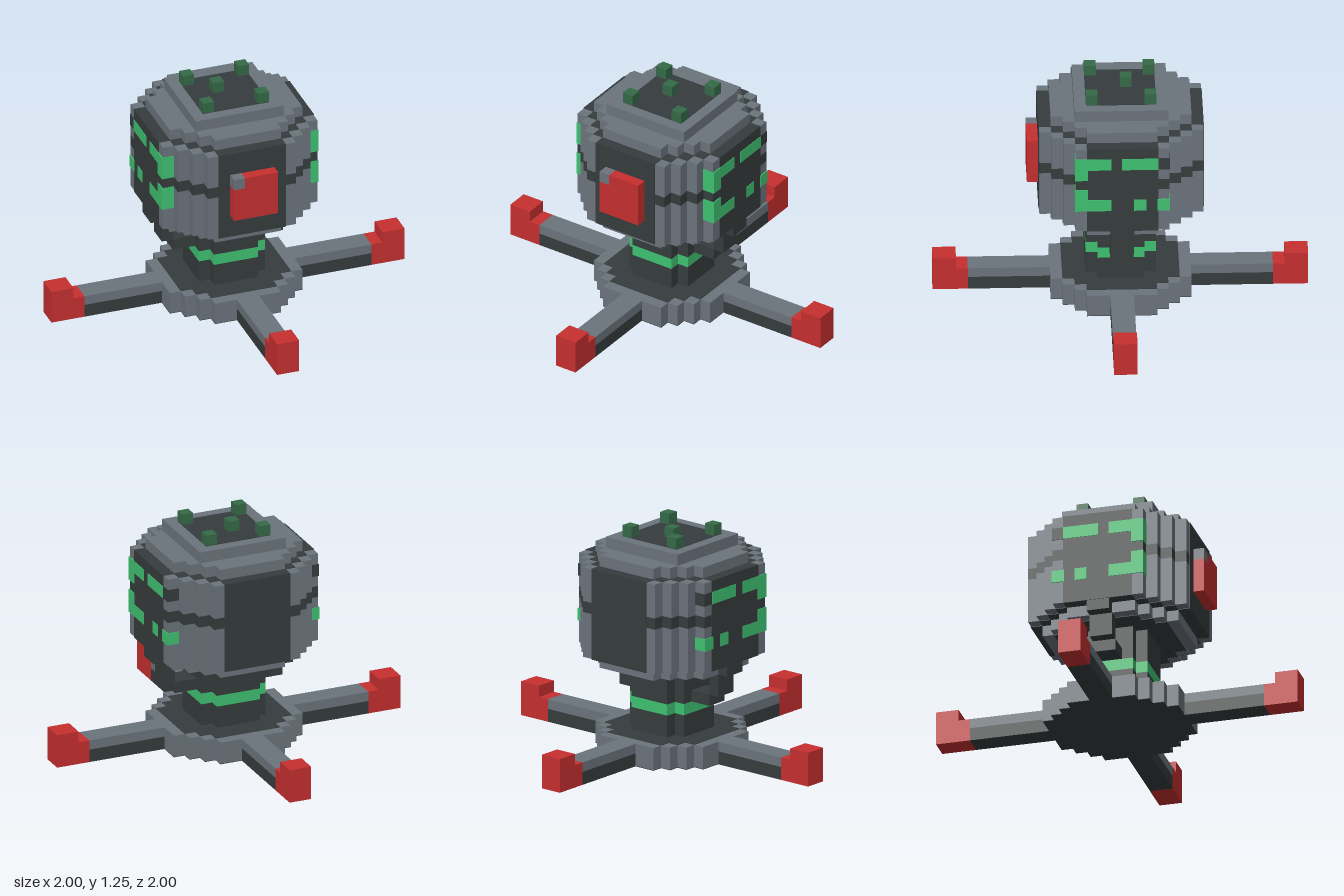
import * as THREE from 'three';

const U = 0.0625; // one block
const E = 0.003;  // offset of painted plates

const mat = (name, color) => {
  const m = new THREE.MeshStandardMaterial({ color });
  m.name = name;
  return m;
};

export function createModel() {
  const grey = mat('steel grey', 0x6b747c);
  const dark = mat('charcoal', 0x363c3d);
  const green = mat('glow green', 0x3fc272);
  const red = mat('red', 0xc62f2f);
  const moss = mat('dark green', 0x356a48);

  const model = new THREE.Group();
  model.name = 'sentryTurret';

  const add = (parent, name, geometry, material) => {
    const mesh = new THREE.Mesh(geometry, material);
    mesh.name = name;
    parent.add(mesh);
    return mesh;
  };

  // Box from min/max corners in block units, optionally swollen by g
  const box = (parent, name, material, x0, x1, y0, y1, z0, z1, g = 0) => {
    const geo = new THREE.BoxGeometry((x1 - x0) * U + 2 * g, (y1 - y0) * U + 2 * g, (z1 - z0) * U + 2 * g);
    geo.translate((x0 + x1) / 2 * U, (y0 + y1) / 2 * U, (z0 + z1) / 2 * U);
    return add(parent, name, geo, material);
  };

  // Stepped octagon: half width n, straight side half length c, stairs between
  const stepped = (parent, name, material, n, c, y0, y1) => {
    const quadrant = [[n, c]];
    for (let i = 0; i < n - c; i++) quadrant.push([n - i - 1, c + i], [n - i - 1, c + i + 1]);
    const points = [];
    for (let q = 0; q < 4; q++) {
      for (const [x, y] of quadrant) {
        const [px, py] = [[x, y], [-y, x], [-x, -y], [y, -x]][q];
        points.push(new THREE.Vector2(px * U, py * U));
      }
    }
    const geo = new THREE.ExtrudeGeometry(new THREE.Shape(points), { depth: (y1 - y0) * U, bevelEnabled: false });
    geo.rotateX(-Math.PI / 2);
    geo.translate(0, y0 * U, 0);
    return add(parent, name, geo, material);
  };
  const e = E / U;

  // Base disc with dark top and underside
  const base = new THREE.Group();
  base.name = 'base';
  model.add(base);
  stepped(base, 'baseUnderside', dark, 6, 3, 0, e);
  stepped(base, 'baseRim', grey, 6, 3, e, 2);
  stepped(base, 'baseTop', dark, 5, 3, 2, 2 + e);

  // Four legs with red feet
  for (let i = 0; i < 4; i++) {
    const leg = new THREE.Group();
    leg.name = 'leg' + (i + 1);
    leg.rotation.y = i * Math.PI / 2;
    box(leg, 'legLower', dark, 6, 13, 0, 1.15, -1, 1);
    box(leg, 'legUpper', grey, 6, 13, 1.15, 2, -1, 1);
    box(leg, 'foot', red, 13, 16, 0, 2, -1, 1);
    box(leg, 'toe', red, 14, 16, 2, 3, -1, 1);
    model.add(leg);
  }

  // Neck with glowing ring
  stepped(model, 'neckLower', dark, 3, 2, 2, 4);
  stepped(model, 'neckRing', green, 3, 2, 4, 5);
  stepped(model, 'neckUpper', dark, 3, 2, 5, 8);

  // Head built from stepped layers
  const head = new THREE.Group();
  head.name = 'head';
  model.add(head);
  stepped(head, 'headUnderside', dark, 5, 3, 8 - e, 8);
  stepped(head, 'headBottom', grey, 6, 3, 8, 9);
  stepped(head, 'headLower', grey, 7, 4, 9, 13);
  stepped(head, 'headBand', dark, 7, 4, 13, 14);
  stepped(head, 'headUpper', grey, 7, 4, 14, 17);
  stepped(head, 'headCore', dark, 6, 4, 9 - e, 17 + e);
  stepped(head, 'headShoulder', grey, 6, 3, 17, 18);
  box(head, 'headCap', grey, -4, 4, 18, 19, -4, 4);
  box(head, 'headCapPlate', dark, -3, 3, 19, 19 + e, -3, 3);

  // Dark panels on the four sides
  box(head, 'frontBackPanels', dark, -3, 3, 9, 17, -7, 7, E);
  box(head, 'sidePanels', dark, -7, 7, 9, 17, -3, 3, E);

  // Front plate with one grey corner block
  const plate = new THREE.Group();
  plate.name = 'frontPlate';
  head.add(plate);
  box(plate, 'plateLower', red, -2, 2, 11, 14, 7, 8);
  box(plate, 'plateUpper', red, -1, 2, 14, 15, 7, 8);
  box(plate, 'plateCorner', grey, -2, -1, 14, 15, 7, 8);

  // Side lights [z0, z1, y0, y1] and brackets, mirrored
  const lights = [
    [3, 4, 14, 16], [3, 4, 11, 13], [1, 3, 15, 16], [1, 3, 11, 12],
    [-3, 0, 15, 16], [-2, -1, 11, 12], [-4, -3, 11, 12],
  ];
  for (const s of [1, -1]) {
    const side = new THREE.Group();
    side.name = s > 0 ? 'leftSide' : 'rightSide';
    model.add(side);
    const sideBox = (name, material, x0, x1, ...rest) =>
      box(side, name, material, Math.min(s * x0, s * x1), Math.max(s * x0, s * x1), ...rest);
    for (const [z0, z1, y0, y1] of lights) {
      sideBox('light', green, 6, 7 + e, y0, y1, z0, z1, Math.abs(z0 + z1) === 7 ? E : E * 0.9);
    }
    sideBox('darkLight', dark, 6, 7, 15, 16, -4, -3, E);
    sideBox('bracketTop', dark, 6, 7, 8, 9, -1, 1);
    sideBox('bracketPost', dark, 5, 6, 6, 8, -1, 1);
    sideBox('bracketArm', dark, 3, 5, 5, 6, -1, 1);
  }

  // Studs on the cap
  for (const [x, z] of [[-3, -3], [2, -3], [-3, 2], [2, 2], [-1, -1]]) {
    box(model, 'stud', moss, x, x + 1, 19, 20, z, z + 1);
  }
  return model;
}
